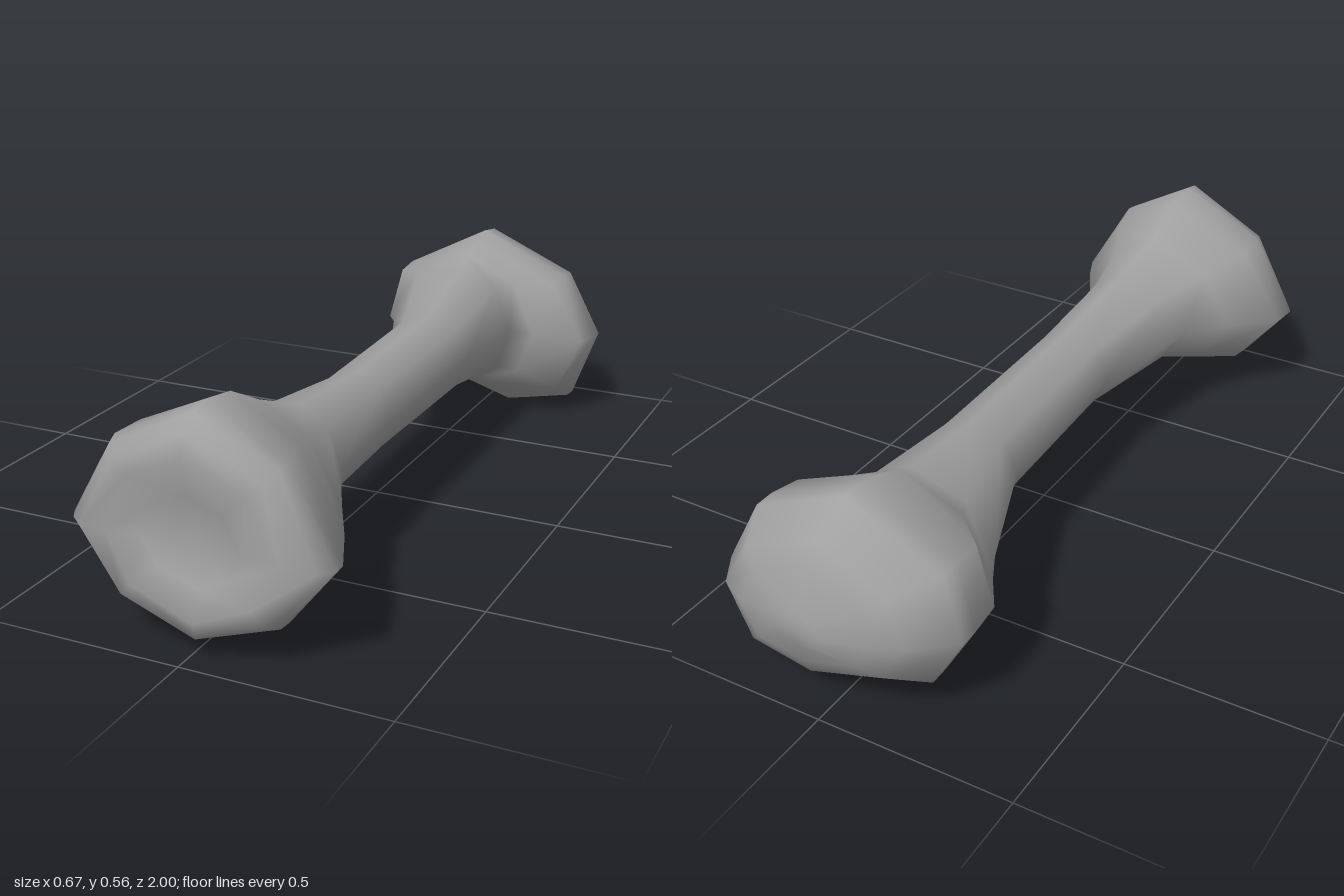
import * as THREE from 'three';

// Corner fullness [x, y] of each ring: upper right, upper left, lower left, lower right
const ROUND = [[.68, .7], [.68, .7], [.68, .7], [.68, .7]];
const KNUCKLE = [[.72, .62], [.85, .58], [.78, .6], [.72, .83]];
const FRONT = [[.61, .66], [.66, .64], [.64, .7], [.6, .72]];

// Cross-sections from back to front:
// z, left, right, bottom, top, topX, bottomX, widestY, corners, bow, tilt
const RINGS = [
  [-1.00, -.03, .10, .20, .29, .03, .04, .24, ROUND],
  [-.97, -.13, .22, .13, .40, .02, .05, .24, KNUCKLE],
  [-.94, -.20, .28, .075, .45, .01, .06, .24, KNUCKLE],
  [-.86, -.295, .33, .005, .525, -.01, .07, .24, KNUCKLE],
  [-.81, -.297, .33, .01, .53, -.02, .07, .24, KNUCKLE],
  [-.73, -.295, .315, .065, .51, -.02, .07, .25, KNUCKLE],
  [-.67, -.255, .19, .105, .485, -.02, .04, .27, ROUND],
  [-.62, -.23, .135, .13, .462, -.015, .02, .29, ROUND],
  [-.32, -.11, .125, .18, .412, .015, .02, .30, ROUND],
  [.18, -.09, .13, .19, .41, .035, .03, .30, ROUND],
  [.51, -.155, .145, .175, .435, .04, .02, .30, ROUND],
  [.65, -.235, .215, .11, .49, .015, .01, .28, FRONT],
  [.77, -.335, .28, .05, .55, .015, .01, .265, FRONT],
  [.87, -.333, .325, .03, .565, .015, .01, .25, FRONT],
  [.90, -.315, .325, .035, .555, .015, .01, .25, FRONT, .02],
  [.93, -.28, .295, .055, .52, .015, .02, .25, FRONT, .03],
  [.95, -.20, .22, .115, .47, .015, .04, .26, ROUND, .04, .01],
  [.95, -.11, .13, .18, .38, .02, .04, .27, ROUND, .012, .005],
];

function ringPoints([z, l, r, b, t, topX, botX, midY, k, bow = 0, tilt = 0]) {
  const corner = ([fx, fy], cx, x, y) => [cx + (x - cx) * fx, midY + (y - midY) * fy];
  const outline = [
    [r, midY], corner(k[0], topX, r, t), [topX, t], corner(k[1], topX, l, t),
    [l, midY], corner(k[2], botX, l, b), [botX, b], corner(k[3], botX, r, b),
  ];
  // bow pushes top and bottom forward, tilt pushes the bottom forward
  return outline.map(([x, y], j) => {
    const s = Math.sin(j * Math.PI / 4);
    return [x, y, z + bow * s * s - tilt * s];
  });
}

export function createModel() {
  const boneGrey = new THREE.MeshStandardMaterial({ color: 0xa0a0a0 });
  boneGrey.name = 'bone grey';

  // Skin joining neighbouring rings
  const N = 8, last = RINGS.length - 1;
  const points = RINGS.flatMap(ringPoints);
  const index = [];
  for (let i = 0; i < last; i++) {
    for (let j = 0; j < N; j++) {
      const a = i * N + j, b = i * N + (j + 1) % N;
      index.push(a, b, a + N, b, b + N, a + N);
    }
  }

  // End caps: rounded back, dished front
  const back = points.push([.04, .245, -1]) - 1;
  const front = points.push([.03, .27, .94]) - 1;
  for (let j = 0; j < N; j++) {
    const n = (j + 1) % N;
    index.push(back, n, j, front, last * N + j, last * N + n);
  }

  const geometry = new THREE.BufferGeometry();
  geometry.setAttribute('position', new THREE.Float32BufferAttribute(points.flat(), 3));
  geometry.setIndex(index);
  geometry.computeVertexNormals();

  const bone = new THREE.Mesh(geometry, boneGrey);
  bone.name = 'bone';
  const group = new THREE.Group();
  group.name = 'legBone';
  group.add(bone);
  return group;
}
